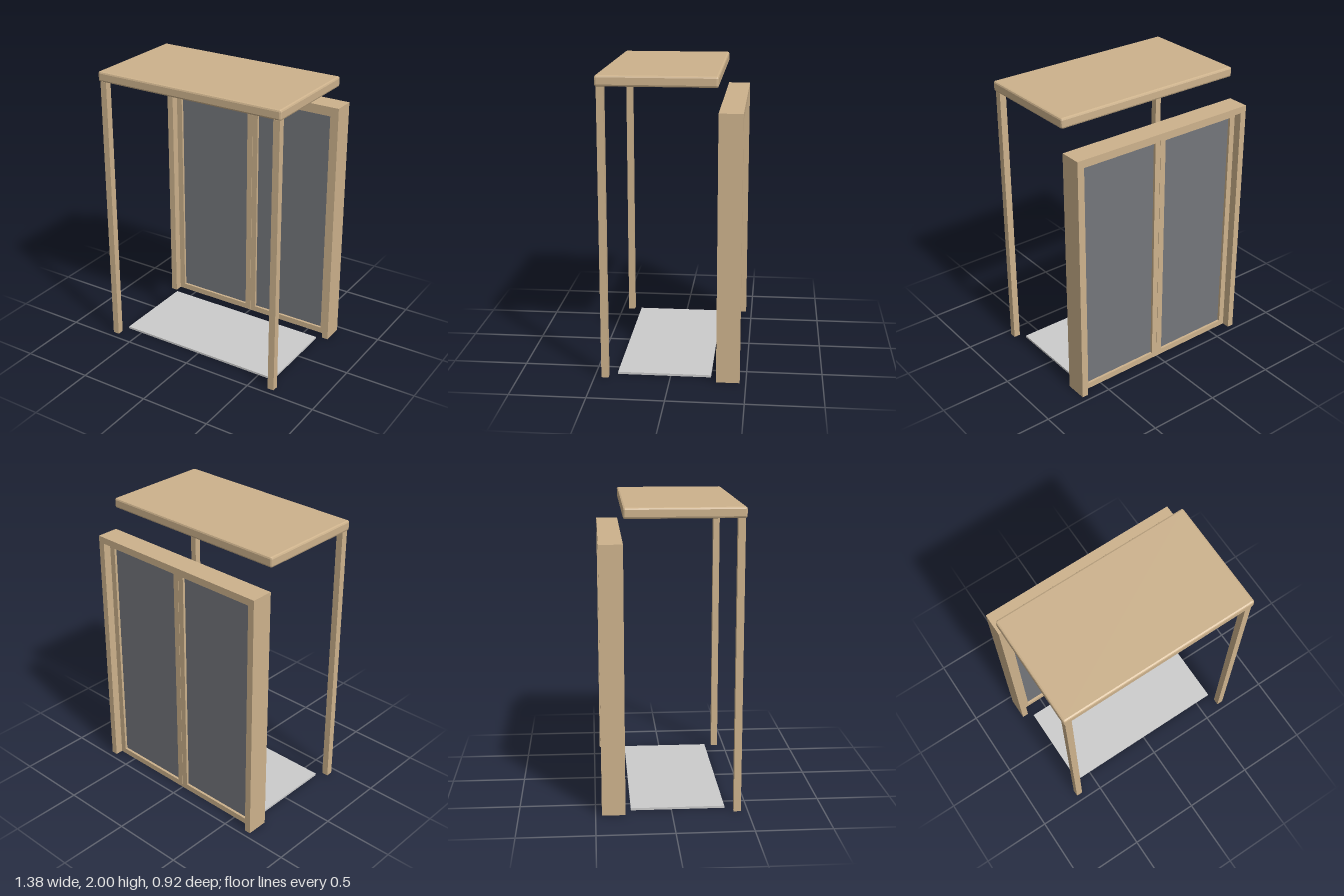
import * as THREE from 'three';
import { RoundedBoxGeometry } from 'three/addons/geometries/RoundedBoxGeometry.js';

export function createModel() {
  const model = new THREE.Group();
  model.name = 'doorCanopy';
  const wood = new THREE.MeshStandardMaterial({ color: 0xcdb28c, flatShading: true });
  const glass = new THREE.MeshStandardMaterial({ color: 0x74767b });
  const grey = new THREE.MeshStandardMaterial({ color: 0xcccccc });

  const add = (name, geometry, material, x, y, z, parent = model) => {
    const mesh = new THREE.Mesh(geometry, material);
    mesh.name = name;
    mesh.position.set(x, y, z);
    parent.add(mesh);
    return mesh;
  };

  // Rectangle shape given by its corners
  const rect = (Type, x0, y0, x1, y1) => new Type([
    new THREE.Vector2(x0, y0), new THREE.Vector2(x1, y0),
    new THREE.Vector2(x1, y1), new THREE.Vector2(x0, y1),
  ]);

  // Canopy roof with chamfered edges
  add('canopyRoof', new RoundedBoxGeometry(1.38, 0.07, 0.768, 1, 0.013), wood, 0, 1.965, 0.079);

  // Floor mat
  add('floorMat', new THREE.BoxGeometry(1.23, 0.015, 0.62), grey, 0, 0.0075, 0.042);

  // Door surround: one portal outline, open at the bottom
  const zFrame = -0.382, depth = 0.154, W = 0.69, H = 1.775, t = 0.045;
  const portal = new THREE.Shape([
    [-W, 0], [-W + t, 0], [-W + t, H - t], [W - t, H - t],
    [W - t, 0], [W, 0], [W, H], [-W, H],
  ].map(([x, y]) => new THREE.Vector2(x, y)));
  const portalGeometry = new THREE.ExtrudeGeometry(portal, { depth, bevelEnabled: false });
  add('doorSurround', portalGeometry, wood, 0, 0, zFrame - depth / 2);

  // Door leaf outline with a hole for its panel
  const leafW = W - t, leafH = H - t, rail = 0.042, leafDepth = 0.045;
  const leaf = rect(THREE.Shape, 0.001, 0, leafW, leafH);
  leaf.holes.push(rect(THREE.Path, rail, rail, leafW - rail, leafH - rail));
  const leafGeometry = new THREE.ExtrudeGeometry(leaf, { depth: leafDepth, bevelEnabled: false });
  leafGeometry.translate(-leafW / 2, 0, -leafDepth / 2);
  const panelGeometry = new THREE.BoxGeometry(leafW - 2 * rail, leafH - 2 * rail, 0.01);

  for (const [side, s] of [['left', 1], ['right', -1]]) {
    // Front post
    add(side + 'Post', new THREE.BoxGeometry(0.046, 1.93, 0.047), wood, s * 0.656, 0.965, 0.43);

    // Door; the right one is turned half round so the hinge stile stays outside
    const door = new THREE.Group();
    door.name = side + 'Door';
    door.position.set(s * leafW / 2, 0, zFrame);
    door.rotation.y = s > 0 ? 0 : Math.PI;
    add(side + 'DoorFrame', leafGeometry, wood, 0, 0, 0, door);
    add(side + 'DoorPanel', panelGeometry, glass, 0, leafH / 2, 0, door);
    model.add(door);
  }
  return model;
}
